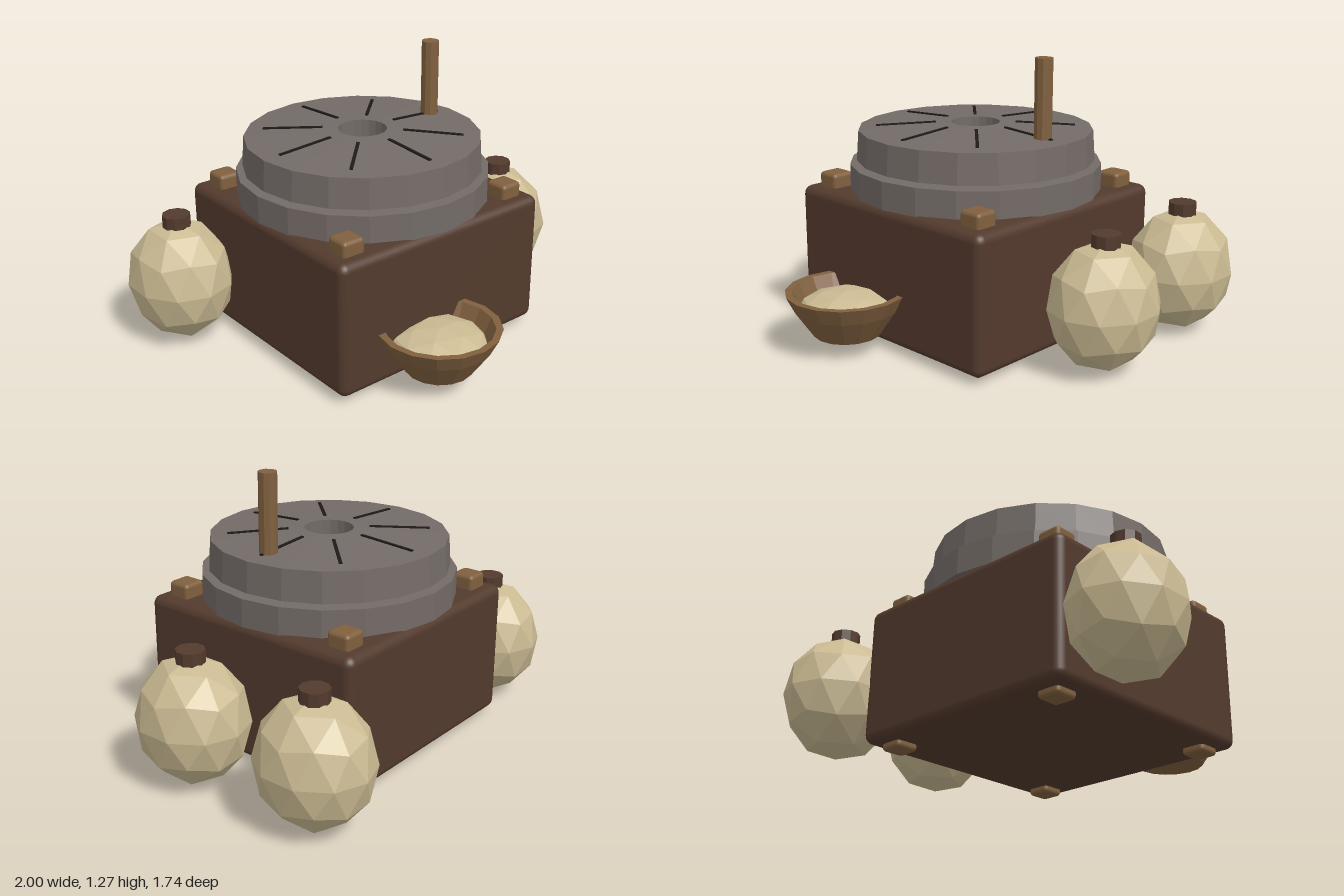
import * as THREE from 'three';
import { RoundedBoxGeometry } from 'three/addons/geometries/RoundedBoxGeometry.js';

const mat = (name, color) => Object.assign(new THREE.MeshStandardMaterial({ color }), { name });

// One normal per face
function faceted(geometry) {
  const g = geometry.index ? geometry.toNonIndexed() : geometry;
  g.computeVertexNormals();
  return g;
}

const lathe = (points, sides) =>
  faceted(new THREE.LatheGeometry(points.map(([r, y]) => new THREE.Vector2(r, y)), sides));

// Faceted ball with a corner at each pole, stretched per axis
function facetedBall(rx, ry, rz) {
  const g = new THREE.IcosahedronGeometry(1, 1);
  g.rotateX(-Math.atan((1 + Math.sqrt(5)) / 2));
  g.rotateY(Math.PI / 2);
  g.scale(rx, ry, rz);
  return faceted(g);
}

export function createModel() {
  const darkWood = mat('dark wood', 0x533a2d);
  const lightWood = mat('light wood', 0x80603f);
  const stone = mat('stone', 0x736b67);
  const cream = mat('cream', 0xcbbb93);
  const black = mat('groove black', 0x1d1a18);

  const model = new THREE.Group();
  model.name = 'grindingMill';
  const add = (parent, name, geometry, material, x = 0, y = 0, z = 0) => {
    const mesh = new THREE.Mesh(geometry, material);
    mesh.name = name;
    mesh.position.set(x, y, z);
    parent.add(mesh);
    return mesh;
  };

  // Mill: wooden base, corner posts, two stones and a handle
  const mill = new THREE.Group();
  mill.name = 'mill';
  mill.position.set(-0.03, 0, -0.067);
  model.add(mill);

  add(mill, 'base', new RoundedBoxGeometry(1.13, 0.615, 1.13, 3, 0.04), darkWood, 0, 0.3375, 0);
  const postGeometry = new RoundedBoxGeometry(0.11, 0.71, 0.11, 2, 0.018);
  for (const x of [-0.45, 0.45])
    for (const z of [-0.45, 0.45]) add(mill, 'cornerPost', postGeometry, lightWood, x, 0.355, z);

  add(mill, 'lowerStone', lathe([[0, 0.64], [0.57, 0.64], [0.57, 0.765], [0, 0.765]], 20), stone);
  add(mill, 'upperStone',
    lathe([[0.11, 0.78], [0.54, 0.78], [0.53, 0.916], [0.11, 0.94], [0.11, 0.78]], 20), stone);

  // Radial grooves lying on the sloping top
  const grooveGeometry = new THREE.BoxGeometry(0.27, 0.012, 0.014);
  for (let i = 0; i < 8; i++) {
    const arm = new THREE.Group();
    arm.name = 'grooveArm';
    arm.rotation.y = (i * Math.PI) / 4;
    mill.add(arm);
    add(arm, 'groove', grooveGeometry, black, 0.315, 0.928, 0).rotation.z = -0.057;
  }

  add(mill, 'handle', faceted(new THREE.CylinderGeometry(0.04, 0.04, 0.42, 10)), lightWood, 0.4, 1.06, 0);

  // Gourds with stoppers
  const gourdGeometry = facetedBall(0.233, 0.28, 0.256);
  const stopperGeometry = faceted(new THREE.CylinderGeometry(0.063, 0.063, 0.07, 10));
  for (const [x, z] of [[0.775, 0], [0.73, -0.617], [-0.78, -0.455]]) {
    const gourd = new THREE.Group();
    gourd.name = 'gourd';
    gourd.position.set(x, 0, z);
    model.add(gourd);
    add(gourd, 'gourdBody', gourdGeometry, cream, 0, 0.29, 0);
    add(gourd, 'gourdStopper', stopperGeometry, darkWood, 0, 0.567, 0);
  }

  // Bowl of flour against the front of the base
  const bowl = new THREE.Group();
  bowl.name = 'flourBowl';
  bowl.position.set(-0.16, 0, 0.603);
  model.add(bowl);
  add(bowl, 'bowl', lathe([[0, 0.08], [0.15, 0.08], [0.23, 0.2], [0.267, 0.275],
    [0.236, 0.275], [0.2, 0.2], [0.13, 0.11], [0, 0.11]], 16), lightWood);
  add(bowl, 'flour', facetedBall(0.215, 0.08, 0.215), cream, 0, 0.19, 0);

  return model;
}
